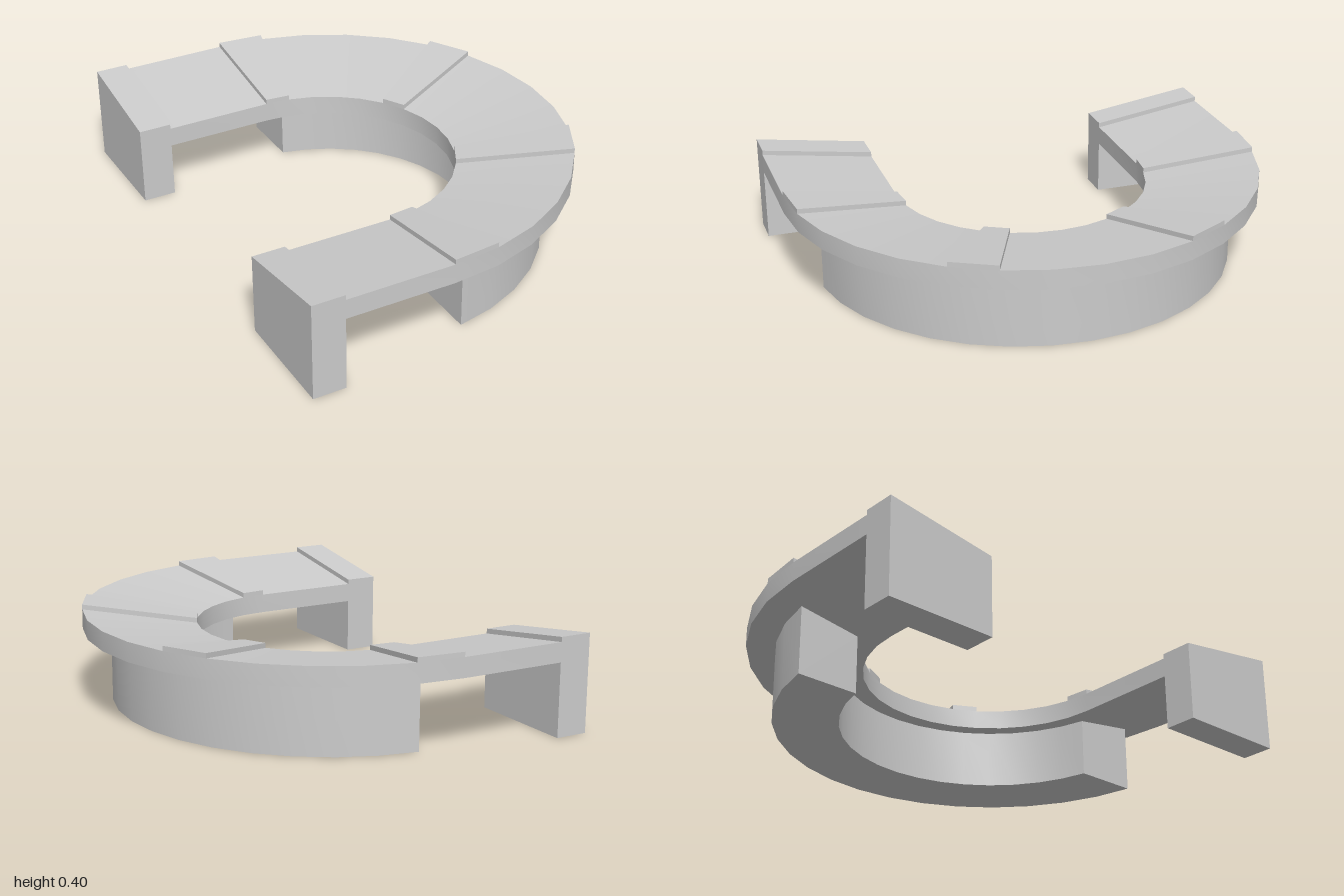
import * as THREE from 'three';
import { toCreasedNormals } from 'three/addons/utils/BufferGeometryUtils.js';

const CX = -0.21;            // centre of the half circle
const R_IN = 0.53, R_OUT = 1.0;
const LEG_X = -0.655, END_X = -0.79;
const STEP = Math.PI / 16;
const HALF = Math.PI / 2;

// The top and underside both fall towards the inner edge
const slope = (r, outerY) => outerY - 0.07 * (R_OUT - r) / (R_OUT - R_IN);

// A station is a function giving x and z for a radius
const arc = (a) => (r) => [CX + r * Math.cos(a), r * Math.sin(a)];
const straight = (x, side) => (r) => [x, side * r];

// Closed solid: a counter-clockwise (radius, y) quad carried through the stations
function sweep(name, profile, stations, material) {
  const rings = stations.map((place) => profile.map(([r, y]) => {
    const [x, z] = place(r);
    return [x, y, z];
  }));
  const pos = [];
  const quad = (a, b, c, d) => pos.push(...a, ...b, ...c, ...a, ...c, ...d);
  for (let i = 0; i < rings.length - 1; i++) {
    for (let j = 0; j < 4; j++) {
      const k = (j + 1) % 4;
      quad(rings[i][j], rings[i][k], rings[i + 1][k], rings[i + 1][j]);
    }
  }
  const first = rings[0], last = rings[rings.length - 1];
  quad(first[3], first[2], first[1], first[0]);
  quad(last[0], last[1], last[2], last[3]);
  const geo = new THREE.BufferGeometry();
  geo.setAttribute('position', new THREE.Float32BufferAttribute(pos, 3));
  const mesh = new THREE.Mesh(toCreasedNormals(geo, Math.PI / 7), material);
  mesh.name = name;
  return mesh;
}

// Quad between two heights, given at the outer edge
const slab = (low, high) => [
  [R_IN, slope(R_IN, low)], [R_OUT, low], [R_OUT, high], [R_IN, slope(R_IN, high)],
];

export function createModel() {
  const group = new THREE.Group();
  group.name = 'horseshoeBench';
  const mat = new THREE.MeshStandardMaterial({ color: 0xcccccc });

  // Horseshoe top: straight arm, half circle, straight arm
  const path = [straight(LEG_X, -1)];
  for (let i = -8; i <= 8; i++) path.push(arc(i * STEP));
  path.push(straight(LEG_X, 1));
  group.add(sweep('deck', slab(0.3, 0.38), path, mat));

  // Raised bands across the deck
  for (const i of [-8, -3, 2, 7]) {
    group.add(sweep('raisedBand', slab(0.38, 0.4), [arc(i * STEP), arc((i + 1) * STEP)], mat));
  }

  // End legs, reaching up to the height of the bands
  const legProfile = [[R_IN, 0], [R_OUT, 0], [R_OUT, 0.4], [R_IN, slope(R_IN, 0.4)]];
  group.add(sweep('backLeg', legProfile, [straight(END_X, -1), straight(LEG_X, -1)], mat));
  group.add(sweep('frontLeg', legProfile, [straight(LEG_X, 1), straight(END_X, 1)], mat));

  // Curved base wall, cut square at both ends
  const wallIn = 0.62, wallOut = 0.885, cut = 0.11;
  const wallStations = [];
  for (let i = -8; i <= 8; i++) {
    wallStations.push((r) => arc((i / 8) * Math.acos(cut / r))(r));
  }
  group.add(sweep('baseWall', [
    [wallIn, 0], [wallOut, 0], [wallOut, slope(wallOut, 0.3)], [wallIn, slope(wallIn, 0.3)],
  ], wallStations, mat));

  return group;
}
